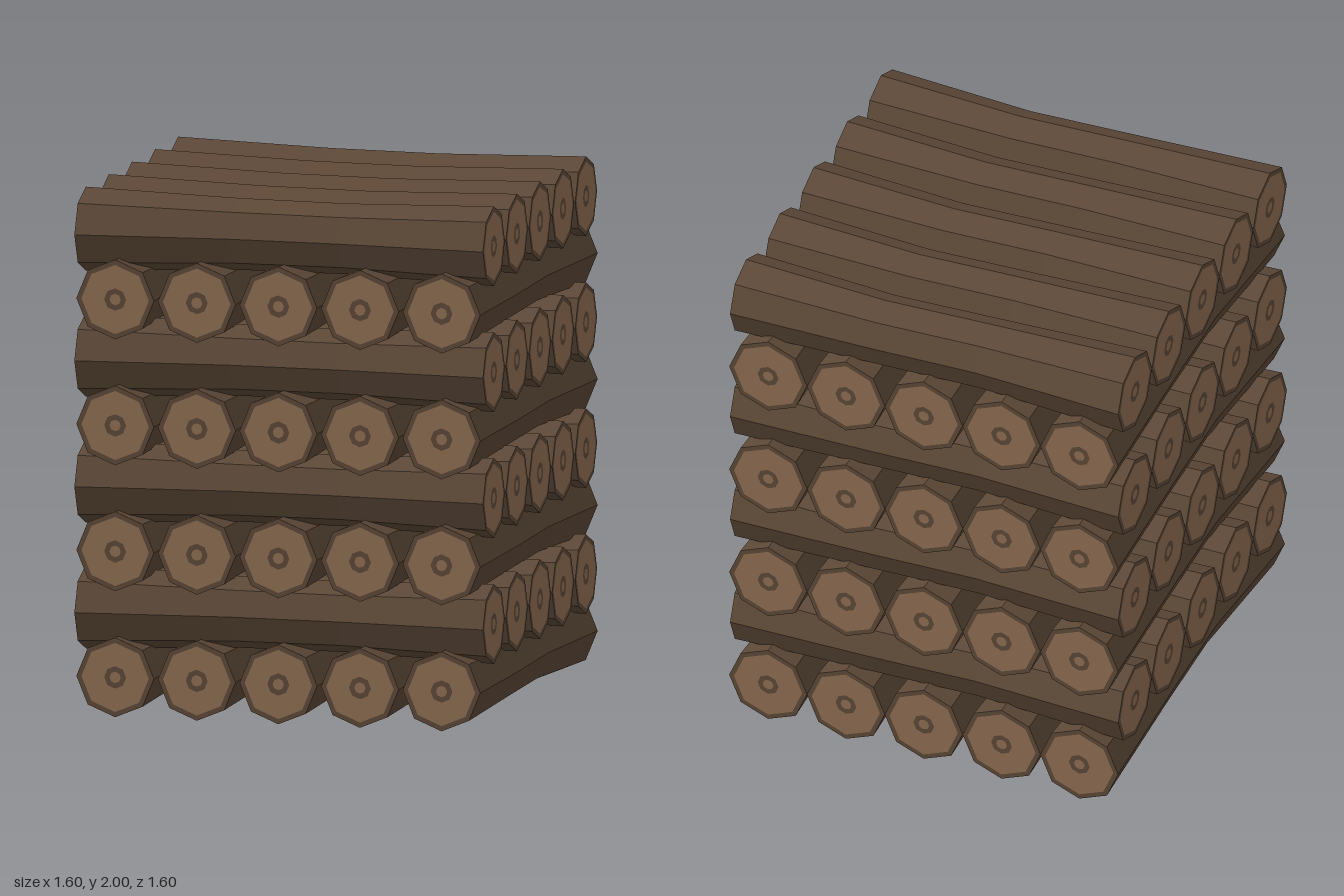
import * as THREE from 'three';

const SIDES = 8;

// Log body along z: octagonal sections [z, radius, sideways shift, lift]
const SECTIONS = [
  [-0.8, 0.16, 0, 0],
  [-0.2, 0.137, 0, 0.005],
  [0.22, 0.135, 0.012, 0.002],
  [0.8, 0.152, 0, 0],
];

function barkGeometry() {
  const pos = [], index = [];
  for (const [z, r, dx, dy] of SECTIONS) {
    for (let i = 0; i < SIDES; i++) {
      const a = (i / SIDES) * Math.PI * 2;
      pos.push(dx + r * Math.cos(a), dy + r * Math.sin(a), z);
    }
  }
  for (let s = 0; s < SECTIONS.length - 1; s++) {
    for (let i = 0; i < SIDES; i++) {
      const a = s * SIDES + i, b = s * SIDES + (i + 1) % SIDES;
      index.push(a, b, b + SIDES, a, b + SIDES, a + SIDES);
    }
  }
  const g = new THREE.BufferGeometry();
  g.setAttribute('position', new THREE.Float32BufferAttribute(pos, 3));
  g.setIndex(index);
  const flat = g.toNonIndexed();
  flat.computeVertexNormals();
  return flat;
}

export function createModel() {
  const model = new THREE.Group();
  model.name = 'logStack';

  const mat = (color) => new THREE.MeshStandardMaterial({ color, flatShading: true });
  const bark = mat(0x5c4837);
  const wood = mat(0x8d6c52);

  // Rings of a cut end, from the bark rim to the core: [name, inner, outer, material]
  const endRings = (r) => [
    ['barkRim', r - 0.02, r, bark],
    ['cutWood', 0.043, r - 0.02, wood],
    ['growthRing', 0.022, 0.043, bark],
    ['core', 0, 0.022, wood],
  ].map(([name, inner, outer, material]) => ({
    name, material,
    geometry: inner > 0
      ? new THREE.RingGeometry(inner, outer, SIDES, 1)
      : new THREE.CircleGeometry(outer, SIDES),
  }));

  const body = barkGeometry();
  const ends = [
    { name: 'thinEnd', z: 0.8, turn: 0, rings: endRings(0.152) },
    { name: 'thickEnd', z: -0.8, turn: Math.PI, rings: endRings(0.16) },
  ];

  function makeLog() {
    const log = new THREE.Group();
    log.name = 'log';
    const trunk = new THREE.Mesh(body, bark);
    trunk.name = 'bark';
    log.add(trunk);
    for (const { name, z, turn, rings } of ends) {
      const end = new THREE.Group();
      end.name = name;
      end.position.z = z;
      end.rotation.y = turn;
      for (const ring of rings) {
        const mesh = new THREE.Mesh(ring.geometry, ring.material);
        mesh.name = ring.name;
        end.add(mesh);
      }
      log.add(end);
    }
    return log;
  }

  // Eight layers of five logs, every other layer turned a quarter
  for (let k = 0; k < 8; k++) {
    const layer = new THREE.Group();
    layer.name = 'layer' + (k + 1);
    layer.position.y = 0.16 + k * 0.2405;
    layer.rotation.y = k % 2 ? Math.PI / 2 : 0;
    for (let i = -2; i <= 2; i++) {
      const log = makeLog();
      log.position.x = i * 0.32;
      layer.add(log);
    }
    model.add(layer);
  }
  return model;
}
